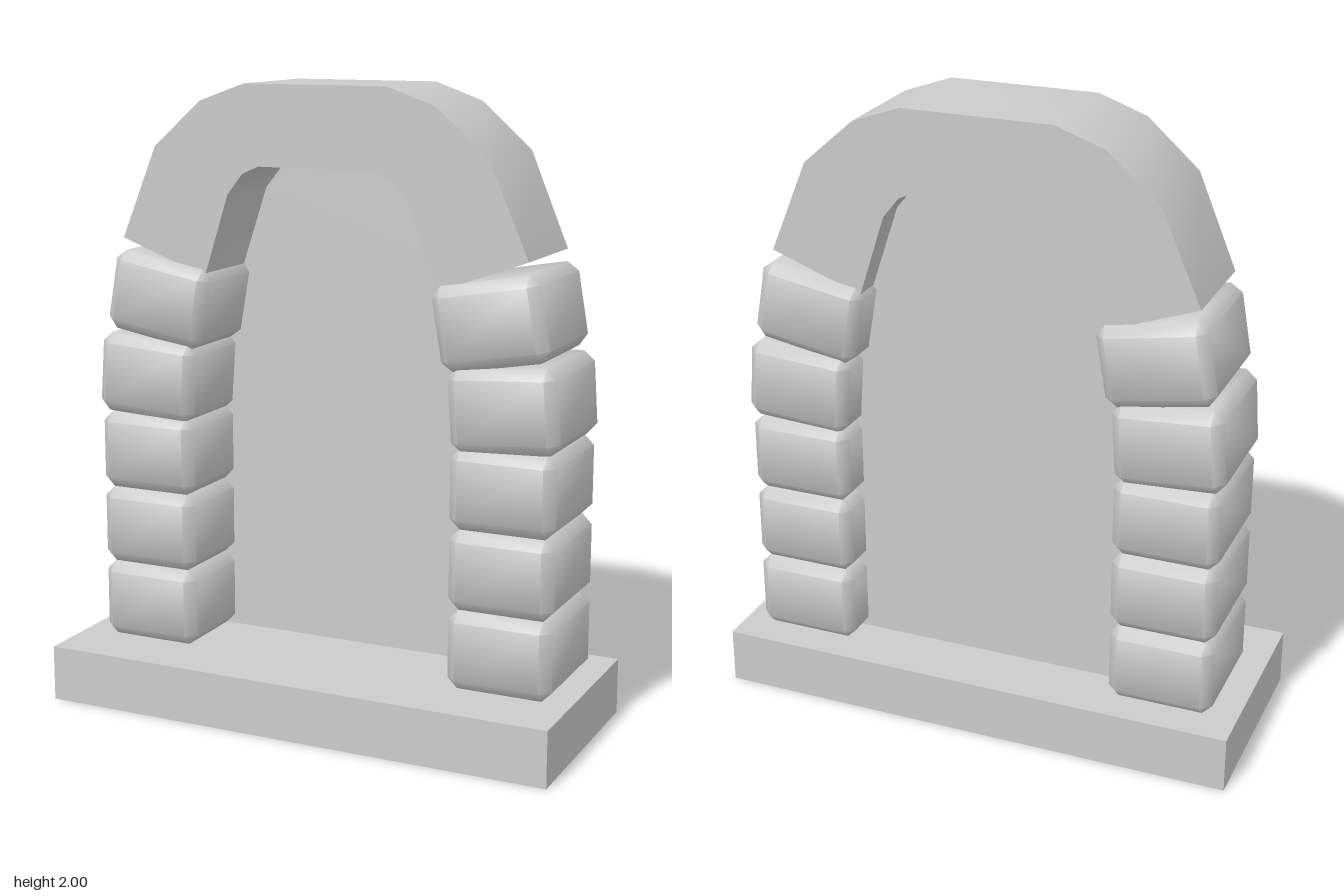
import * as THREE from 'three';
import { toCreasedNormals } from 'three/addons/utils/BufferGeometryUtils.js';
import { ConvexGeometry } from 'three/addons/geometries/ConvexGeometry.js';

const grey = new THREE.MeshStandardMaterial({ color: 0xcccccc });
const greyDouble = new THREE.MeshStandardMaterial({ color: 0xcccccc, side: THREE.DoubleSide });

// Right half outlines of the arch; mirrored around a centre slightly off x = 0
const ARCH_CENTRE = 0.003;
const STONE_CENTRE = 0.009;
const outer = [[0.237, 2], [0.392, 1.945], [0.557, 1.8], [0.682, 1.507]];
const inner = [[0.39, 1.4], [0.303, 1.66], [0.25, 1.725], [0.195, 1.75]];

const point = ([x, y], side) => new THREE.Vector2(ARCH_CENTRE + side * x, y);

// Closed shape from a half outline and its mirror image
function mirroredShape(half) {
  return new THREE.Shape([
    ...half.map((p) => point(p, 1)),
    ...[...half].reverse().map((p) => point(p, -1)),
  ]);
}

function add(parent, name, geometry, material, x = 0, y = 0, z = 0) {
  const mesh = new THREE.Mesh(geometry, material);
  mesh.name = name;
  mesh.position.set(x, y, z);
  parent.add(mesh);
  return mesh;
}

// Block with every edge cut at 45 degrees, shaded softly over the cuts
function stoneGeometry(width, height, depth, cut = 0.033) {
  const half = [width / 2, height / 2, depth / 2];
  const points = [];
  for (const sx of [-1, 1]) for (const sy of [-1, 1]) for (const sz of [-1, 1]) {
    for (let face = 0; face < 3; face++) {
      const [x, y, z] = half.map((h, axis) => (axis === face ? h : h - cut));
      points.push(new THREE.Vector3(sx * x, sy * y, sz * z));
    }
  }
  return toCreasedNormals(new ConvexGeometry(points), THREE.MathUtils.degToRad(60));
}

// Solid cap of the arch, a little thinner towards its feet
function archGeometry() {
  const depth = 0.374;
  const shape = mirroredShape([...outer, ...inner]);
  const geometry = new THREE.ExtrudeGeometry(shape, { depth, bevelEnabled: false });
  geometry.translate(0, 0, -depth / 2);
  const pos = geometry.attributes.position;
  for (let i = 0; i < pos.count; i++) {
    pos.setZ(i, pos.getZ(i) * THREE.MathUtils.mapLinear(pos.getY(i), 1.5, 2, 0.93, 1));
  }
  return toCreasedNormals(geometry, THREE.MathUtils.degToRad(40));
}

export function createModel() {
  const model = new THREE.Group();
  model.name = 'stoneArch';

  add(model, 'base', new THREE.BoxGeometry(1.7, 0.18, 0.68), grey, 0, 0.09, 0);

  // Pillar stones: distance from centre, height, inward lean in degrees
  const stones = [
    [0.609, 0.305, 0],
    [0.609, 0.558, 0],
    [0.609, 0.811, 0],
    [0.607, 1.06, 4],
    [0.561, 1.317, 10],
  ];
  const straight = stoneGeometry(0.338, 0.253, 0.41);
  const leaning = stoneGeometry(0.346, 0.26, 0.41);
  for (const side of [1, -1]) {
    const pillar = new THREE.Group();
    pillar.name = side > 0 ? 'leftPillar' : 'rightPillar';
    for (const [x, y, lean] of stones) {
      const mesh = add(pillar, 'pillarStone', lean ? leaning : straight, grey,
        STONE_CENTRE + side * x, y, -0.047);
      mesh.rotation.z = side * THREE.MathUtils.degToRad(lean);
    }
    model.add(pillar);
  }

  add(model, 'archTop', archGeometry(), grey, 0, 0, -0.049);

  // Thin panel closing the opening, tucked behind the stones' inner faces
  const panel = mirroredShape([
    [0.21, 1.77], [0.27, 1.74], [0.33, 1.67], [0.41, 1.42],
    [0.47, 1.15], [0.49, 0.95], [0.49, 0.18],
  ]);
  add(model, 'doorPanel', new THREE.ShapeGeometry(panel), greyDouble, 0, 0, -0.13);

  return model;
}
